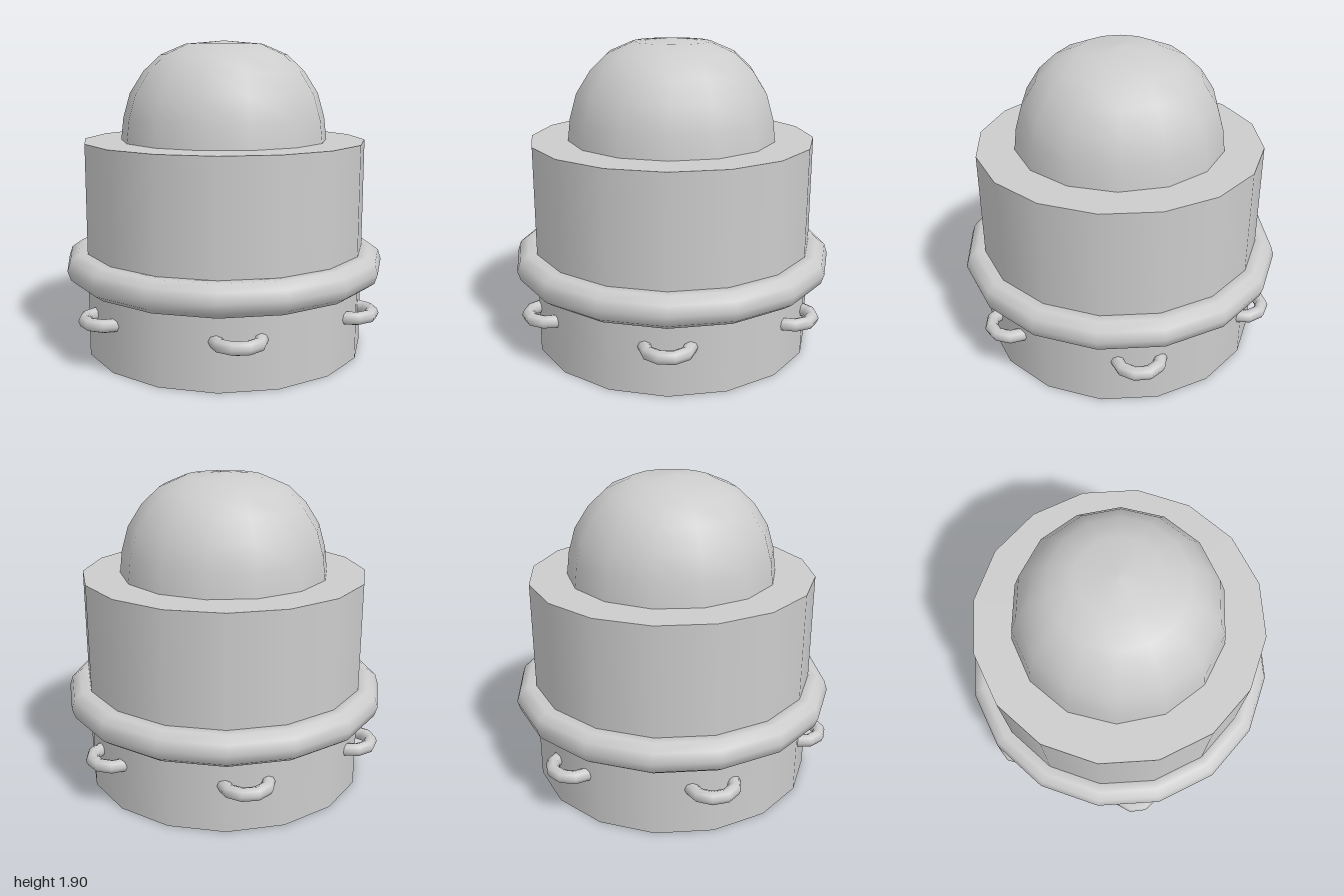
import * as THREE from 'three';

export function createModel() {
  const model = new THREE.Group();
  const grey = new THREE.MeshStandardMaterial({ color: 0xcccccc });
  grey.name = 'light grey';

  const add = (name, geometry, y = 0, parent = model) => {
    const mesh = new THREE.Mesh(geometry, grey);
    mesh.name = name;
    mesh.position.y = y;
    parent.add(mesh);
    return mesh;
  };

  // Sixteen-sided drum standing on the ground
  add('body', new THREE.CylinderGeometry(0.875, 0.875, 1.3, 16), 0.65);

  // Fourteen-sided dome, its foot resting on the drum
  const profile = [
    [0.642, 1.3], [0.626, 1.436], [0.583, 1.586], [0.497, 1.72],
    [0.39, 1.82], [0.238, 1.885], [0, 1.905],
  ].map(([r, y]) => new THREE.Vector2(r, y));
  add('dome', new THREE.LatheGeometry(profile, 14).rotateY(Math.PI / 2));

  // Thick ring around the drum
  add('ring', new THREE.TorusGeometry(0.9, 0.1, 10, 16).rotateX(Math.PI / 2), 0.54);

  // Six half-loop handles around the lower part
  const loop = new THREE.TorusGeometry(0.13, 0.04, 8, 5, Math.PI)
    .rotateZ(-Math.PI / 2)
    .rotateX(Math.PI / 2)
    .translate(0.838, 0, 0);
  const handles = new THREE.Group();
  handles.name = 'handles';
  model.add(handles);
  for (let i = 0; i < 6; i++) {
    add('handle', loop, 0.29, handles).rotation.y = (i * Math.PI) / 3;
  }

  return model;
}
